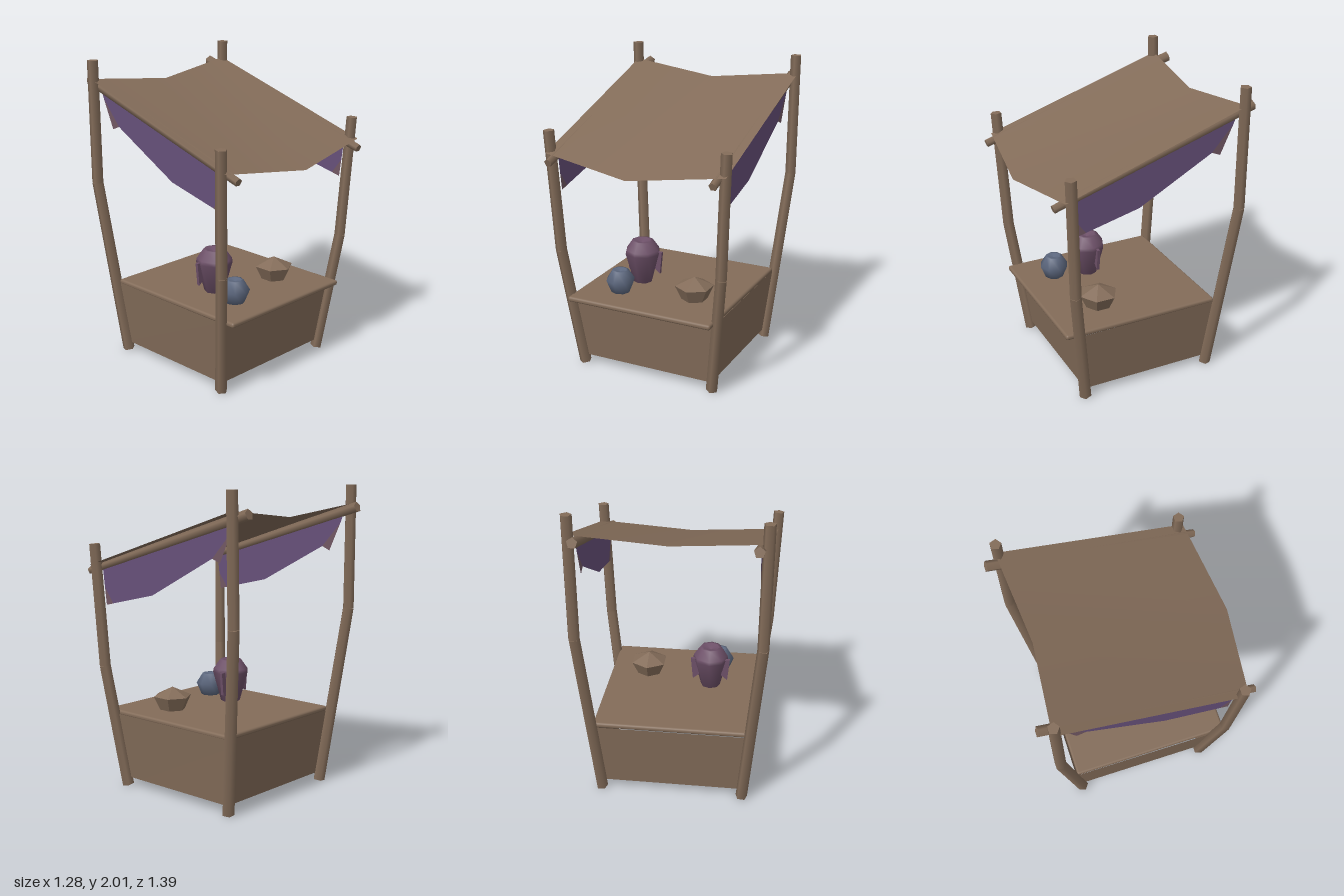
import * as THREE from 'three';
import { RoundedBoxGeometry } from 'three/addons/geometries/RoundedBoxGeometry.js';

const paint = (name, color, opts = {}) => {
  const m = new THREE.MeshStandardMaterial({ color, ...opts });
  m.name = name;
  return m;
};

export function createModel() {
  const wood = paint('wood brown', 0x836c59);
  const cloth = paint('brown sheet', 0x836c59, { side: THREE.DoubleSide });
  const purple = paint('purple cloth', 0x665079, { side: THREE.DoubleSide });
  const patchTone = paint('faded patch', 0x715763, { side: THREE.DoubleSide });
  const mauve = paint('mauve clay', 0x6d5068);
  const blue = paint('blue clay', 0x5d687f);
  const sackTone = paint('brown clay', 0x836c59, { flatShading: true });

  const model = new THREE.Group();
  model.name = 'marketStall';

  const add = (name, geometry, material, parent = model) => {
    const mesh = new THREE.Mesh(geometry, material);
    mesh.name = name;
    parent.add(mesh);
    return mesh;
  };

  // Tapered five-sided stick between two points
  const stick = (name, a, b, r0, r1, parent) => {
    const p = new THREE.Vector3(...a), q = new THREE.Vector3(...b);
    const dir = q.clone().sub(p);
    const mesh = add(name, new THREE.CylinderGeometry(r1, r0, dir.length(), 5), wood, parent);
    mesh.position.copy(p).add(q).multiplyScalar(0.5);
    mesh.quaternion.setFromUnitVectors(new THREE.Vector3(0, 1, 0), dir.normalize());
    return mesh;
  };

  // Flat or folded sheet from corner points and triangles
  const sheet = (name, points, faces, material) => {
    const g = new THREE.BufferGeometry();
    g.setAttribute('position', new THREE.Float32BufferAttribute(points.flat(), 3));
    g.setIndex(faces);
    g.computeVertexNormals();
    return add(name, g, material);
  };

  for (const s of [1, -1]) {
    const side = s > 0 ? 'left' : 'right';
    // Bent corner posts
    const posts = {
      FrontPost: [[0.47, 0, 0.43], [0.568, 0.82, 0.53], [0.607, 1.625, 0.565]],
      BackPost: [[0.47, 0, -0.47], [0.58, 1.19, -0.605], [0.59, 2, -0.6]],
    };
    for (const [name, path] of Object.entries(posts)) {
      const post = new THREE.Group();
      post.name = side + name;
      model.add(post);
      const [a, b, c] = path.map(([x, y, z]) => [s * x, y, z]);
      stick('lowerPost', a, b, 0.04, 0.038, post);
      stick('upperPost', b, c, 0.038, 0.037, post);
    }
    // Sloping canopy pole
    stick(side + 'CanopyPole', [s * 0.56, 1.44, 0.66], [s * 0.54, 1.86, -0.69], 0.027, 0.035);

    // Hanging side drape with faded lower corners
    const at = (z, y) => [s * (0.552 + 0.014 * z), y, z];
    const P = [
      at(0.54, 1.46), at(-0.58, 1.81), at(-0.555, 1.75), at(-0.41, 1.59),
      at(0.09, 1.325), at(0.45, 1.24), at(0.525, 1.34),
    ];
    sheet(side + 'Drape', P, [0, 1, 2, 0, 2, 3, 0, 3, 4, 0, 4, 5, 0, 5, 6], purple);
    sheet(side + 'DrapePatchBack', [P[2], at(-0.47, 1.565), P[3]], [0, 1, 2], patchTone);
    sheet(side + 'DrapePatchFront', [P[5], at(0.51, 1.225), P[6]], [0, 1, 2], patchTone);
  }

  // Sagging canopy, folded along the middle
  sheet('canopy', [
    [-0.61, 1.485, 0.605], [0, 1.41, 0.69], [0.62, 1.485, 0.605],
    [-0.6, 1.88, -0.615], [0, 1.815, -0.56], [0.6, 1.88, -0.615],
  ], [0, 1, 4, 0, 4, 3, 1, 2, 5, 1, 5, 4], cloth);

  // Counter walls between the posts
  const low = [[0.465, 0.43], [0.465, -0.46], [-0.465, -0.46], [-0.465, 0.43]];
  const high = [[0.515, 0.48], [0.51, -0.51], [-0.51, -0.51], [-0.515, 0.48]];
  ['leftWall', 'backWall', 'rightWall', 'frontWall'].forEach((name, i) => {
    const j = (i + 1) % 4;
    const pts = [[low[i], 0.05], [low[j], 0.05], [high[j], 0.49], [high[i], 0.49]]
      .map(([[x, z], y]) => [x, y, z]);
    sheet(name, pts, [0, 1, 2, 0, 2, 3], cloth);
  });

  // Counter top
  add('counterTop', new RoundedBoxGeometry(1.02, 0.035, 1.07, 2, 0.015), wood)
    .position.set(0, 0.4975, 0.035);

  // Turned wares on the counter
  const turned = (name, profile, sides, material, x, z) => {
    const pts = profile.map(([r, y]) => new THREE.Vector2(r, y));
    const mesh = add(name, new THREE.LatheGeometry(pts, sides), material);
    mesh.position.set(x, 0.513, z);
    return mesh;
  };
  const vase = turned('tallVase',
    [[0, 0], [0.065, 0], [0.12, 0.205], [0.115, 0.23], [0.072, 0.292], [0.055, 0.292], [0, 0.27]],
    8, mauve, -0.2, 0.1);
  turned('smallVase',
    [[0, 0], [0.062, 0], [0.097, 0.085], [0.055, 0.153], [0.042, 0.153], [0, 0.14]],
    8, blue, -0.245, 0.33);
  turned('coveredPot', [[0, 0], [0.085, 0], [0.128, 0.092], [0, 0.153]], 6, sackTone, 0.245, 0.225);

  // Flat handles of the tall vase
  for (const s of [1, -1]) {
    const shape = new THREE.Shape([[0.07, 0.215], [0.133, 0.215], [0.118, 0.06], [0.07, 0.1]]
      .map(([x, y]) => new THREE.Vector2(s * x, y)));
    const g = new THREE.ExtrudeGeometry(shape, { depth: 0.02, bevelEnabled: false });
    add(s > 0 ? 'leftHandle' : 'rightHandle', g, mauve, vase).position.z = -0.04;
  }

  return model;
}
